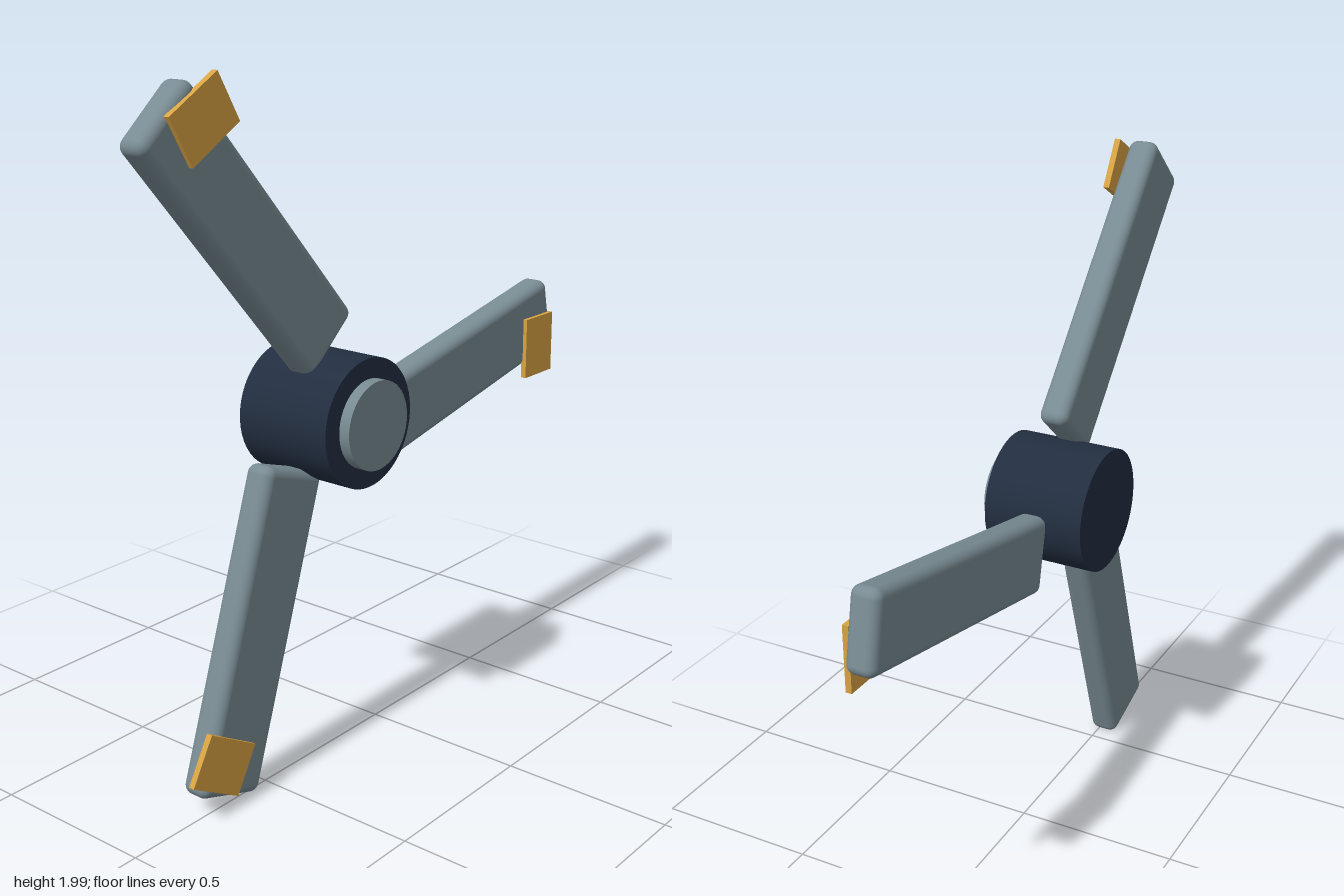
import * as THREE from 'three';
import { RoundedBoxGeometry } from 'three/addons/geometries/RoundedBoxGeometry.js';

const CENTER = { x: -0.2, y: 1.023 };

function material(name, color) {
  const m = new THREE.MeshStandardMaterial({ color });
  m.name = name;
  return m;
}

export function createModel() {
  const model = new THREE.Group();
  model.name = 'threeBladeRotor';
  const steel = material('greyBlue', 0x788b92);
  const navy = material('darkNavy', 0x222e40);
  const amber = material('amber', 0xd8a343);

  const rotor = new THREE.Group();
  rotor.name = 'rotor';
  rotor.position.set(CENTER.x, CENTER.y, 0);
  model.add(rotor);

  function add(parent, name, geometry, mat, x, y, z) {
    const mesh = new THREE.Mesh(geometry, mat);
    mesh.name = name;
    mesh.position.set(x, y, z);
    parent.add(mesh);
    return mesh;
  }

  // Hub drum and its raised front cap, both along z
  const drum = new THREE.CylinderGeometry(0.185, 0.185, 0.31, 48).rotateX(Math.PI / 2);
  add(rotor, 'hub', drum, navy, 0, 0, -0.017);
  const cap = new THREE.CylinderGeometry(0.127, 0.127, 0.06, 48).rotateX(Math.PI / 2);
  add(rotor, 'hubCap', cap, steel, 0, 0, 0.142);

  // Three arms: a canted rounded blade with a square-set tip plate
  const bladeShape = new RoundedBoxGeometry(0.92, 0.235, 0.09, 4, 0.028);
  const plateShape = new THREE.BoxGeometry(0.148, 0.193, 0.018);
  for (let i = 0; i < 3; i++) {
    const arm = new THREE.Group();
    arm.name = `arm${i + 1}`;
    arm.rotation.z = (i * Math.PI * 2) / 3;
    rotor.add(arm);
    add(arm, 'blade', bladeShape, steel, 0.633, 0, -0.017).rotation.z = 0.2;
    add(arm, 'tipPlate', plateShape, amber, 1.0, 0, 0.032);
  }
  return model;
}
